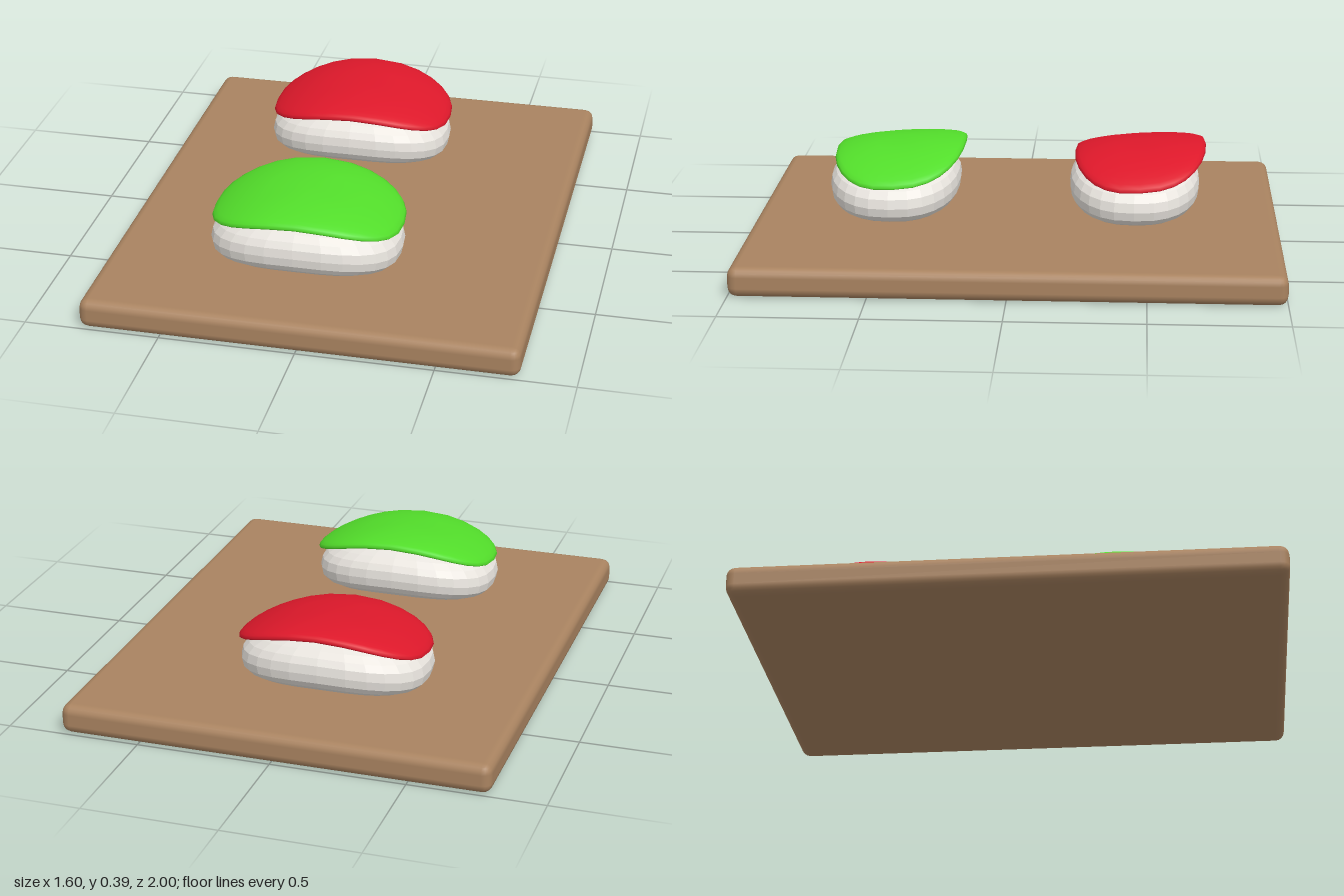
import * as THREE from 'three';
import { RoundedBoxGeometry } from 'three/addons/geometries/RoundedBoxGeometry.js';
import { mergeVertices } from 'three/addons/utils/BufferGeometryUtils.js';

const CENTRE_X = -0.075;

const spow = (v, e) => Math.sign(v) * Math.pow(Math.abs(v), e);

// Squared-off ellipsoid: plan half-sizes a and c, with height(u, v, n) setting y,
// where u, v run -1..1 across the plan and n runs -1..1 from bottom to top.
function pillow(a, c, edge, height) {
  const geo = new THREE.SphereGeometry(1, 28, 14);
  geo.deleteAttribute('uv');
  geo.deleteAttribute('normal');
  const pos = geo.attributes.position;
  for (let i = 0; i < pos.count; i++) {
    const x = pos.getX(i), y = pos.getY(i), z = pos.getZ(i);
    const ring = Math.hypot(x, z);
    const r = Math.pow(ring, edge);
    const u = ring > 1e-6 ? r * spow(x / ring, 0.8) : 0;
    const v = ring > 1e-6 ? r * spow(z / ring, 0.8) : 0;
    pos.setXYZ(i, a * u, height(u, v, spow(y, edge)), c * v);
  }
  const welded = mergeVertices(geo, 1e-5);
  welded.computeVertexNormals();
  return welded;
}

function part(name, geo, color, flatShading = false) {
  const mesh = new THREE.Mesh(geo, new THREE.MeshStandardMaterial({ color, flatShading }));
  mesh.name = name;
  return mesh;
}

export function createModel() {
  const model = new THREE.Group();
  model.name = 'servingBoard';

  // Wooden board with eased edges
  const board = part('board', new RoundedBoxGeometry(1.6, 0.11, 2, 2, 0.035), 0xa98360);
  board.position.y = 0.055;
  model.add(board);

  // Rice block, sagging slightly at both ends and resting flat on the board
  const riceGeo = pillow(0.357, 0.25, 0.8, (u, v, n) =>
    Math.max(0.108, 0.22 - 0.035 * u * u + 0.112 * n));

  // Topping slice, arched along its length and tipped towards the front
  const toppingGeo = pillow(0.357, 0.252, 0.6, (u, v, n) =>
    0.361 - 0.095 * u * u - 0.0175 * v - 0.014 * v * v + (n > 0 ? 0.024 : 0.017) * n);

  const pieces = [
    ['frontPiece', 0.475, 0x52dd2a],
    ['backPiece', -0.45, 0xdd182a],
  ];
  for (const [name, z, color] of pieces) {
    const piece = new THREE.Group();
    piece.name = name;
    piece.position.set(CENTRE_X, 0, z);
    const topping = part('topping', toppingGeo, color);
    topping.position.z = -0.021;
    piece.add(part('rice', riceGeo, 0xe8e4de, true), topping);
    model.add(piece);
  }
  return model;
}
